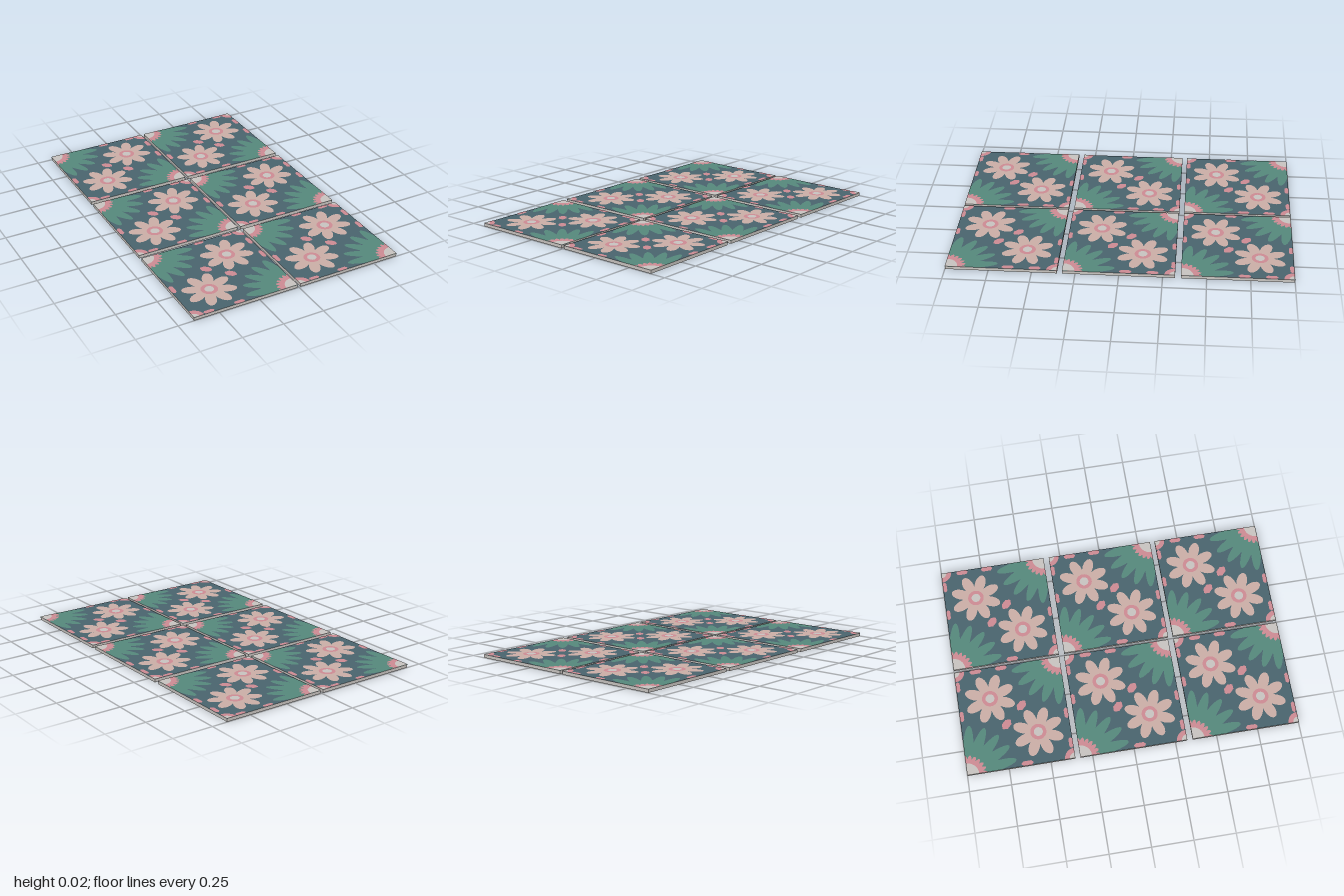
import * as THREE from 'three';

const S = 0.645;      // tile side
const H = 0.022;      // tile height
const STEP = 0.0005;  // thickness of one painted layer

const mat = (name, color) => new THREE.MeshStandardMaterial({ name, color });

// Closed outline around (u, v) in tile units (v runs to the front); a wedge includes its corner
function polar(u, v, radius, from = 0, to = Math.PI * 2, steps = 96) {
  const wedge = to - from < 6;
  const pts = wedge ? [new THREE.Vector2((u - 0.5) * S, (0.5 - v) * S)] : [];
  for (let i = 0; i < steps + (wedge ? 1 : 0); i++) {
    const a = from + (to - from) * i / steps;
    const r = radius(a);
    pts.push(new THREE.Vector2((u - 0.5 + r * Math.cos(a)) * S, (0.5 - v + r * Math.sin(a)) * S));
  }
  return new THREE.Shape(pts);
}

// Scalloped radius with rounded lobes
const lobes = (inner, outer, count, phase = 0, power = 0.45) => a =>
  inner + (outer - inner) * Math.pow(0.5 + 0.5 * Math.cos(count * (a - phase)), power);

// Rounded bar, optionally turned
function bar(u, v, w, h, angle = 0) {
  const c = Math.min(w, h) * 0.4;
  const outline = [
    [-w / 2, -h / 2 + c], [-w / 2 + c, -h / 2], [w / 2 - c, -h / 2], [w / 2, -h / 2 + c],
    [w / 2, h / 2 - c], [w / 2 - c, h / 2], [-w / 2 + c, h / 2], [-w / 2, h / 2 - c]];
  return new THREE.Shape(outline.map(([x, y]) => new THREE.Vector2(x, y)
    .rotateAround(new THREE.Vector2(), angle)
    .add(new THREE.Vector2(u - 0.5, 0.5 - v)).multiplyScalar(S)));
}

export function createModel() {
  const slate = mat('slateGround', 0x4a646e);
  const green = mat('leafGreen', 0x55897c);
  const petal = mat('petalBeige', 0xcbaea7);
  const pink = mat('rosePink', 0xcd8b93);
  const pale = mat('paleGrey', 0xc8c4c0);

  const flowers = [[0.693, 0.3], [0.303, 0.7]];
  const Q = Math.PI / 2;
  // Corner centres with the start angle of their quarter
  const bigCorners = [[0, 0, -Q], [1, 1, Q]];
  const smallCorners = [[1, 0, 2 * Q], [0, 1, 0]];
  const quarter = ([u, v, a], radius) => polar(u, v, radius, a, a + Q, 60);
  const round = r => () => r;

  const leaves = bigCorners.map(c => quarter(c, lobes(0.31, 0.47, 20, Math.PI / 20, 0.6)));
  const petals = flowers.map(([u, v]) => polar(u, v, lobes(0.12, 0.24, 8, Math.PI / 8)));
  const pinks = [
    ...flowers.map(([u, v]) => polar(u, v, round(0.075), 0, Math.PI * 2, 32)),
    ...bigCorners.map(c => quarter(c, lobes(0.15, 0.185, 24))),
    ...smallCorners.map(c => quarter(c, round(0.095))),
    // buds between the flowers
    ...[0.42, 0.58].map(t => bar(t, t, 0.11, 0.07, -Math.PI / 4)),
    // dashes along the borders
    ...[0.56, 0.85].flatMap(t => [bar(t, 0.019, 0.1, 0.038), bar(1 - t, 0.981, 0.1, 0.038)]),
    bar(0.022, 0.56, 0.044, 0.11), bar(0.978, 0.44, 0.044, 0.11), bar(0.978, 0.2, 0.044, 0.11),
  ];
  const pales = [
    ...flowers.map(([u, v]) => polar(u, v, round(0.042), 0, Math.PI * 2, 24)),
    ...bigCorners.map(c => quarter(c, round(0.11))),
    ...smallCorners.map(c => quarter(c, round(0.05))),
  ];

  const layers = [['leaves', leaves, green], ['petals', petals, petal],
    ['pinkDetails', pinks, pink], ['paleCentres', pales, pale]]
    .map(([name, shapes, material], i) => {
      const geometry = new THREE.ShapeGeometry(shapes);
      geometry.rotateX(-Math.PI / 2);
      geometry.translate(0, H - STEP * (3 - i), 0);
      return { name, geometry, material };
    });

  // Wavy dark band on the underside, along the back edge
  const band = new THREE.Shape([new THREE.Vector2(-S / 2, -S / 2), new THREE.Vector2(S / 2, -S / 2)]);
  for (let i = 0; i <= 24; i++) {
    const t = i / 24;
    const depth = 0.4 - 0.06 * t + 0.025 * Math.sin(t * Math.PI * 4);
    band.lineTo((0.5 - t) * S, (depth - 0.5) * S);
  }
  const bandGeometry = new THREE.ShapeGeometry(band);
  bandGeometry.rotateX(Math.PI / 2);
  layers.push({ name: 'undersideBand', geometry: bandGeometry, material: slate });

  // Slab: pale sides, slate top, green underside
  const bodyH = H - 5 * STEP;
  const body = new THREE.BoxGeometry(S, bodyH, S);
  body.translate(0, STEP + bodyH / 2, 0);
  layers.unshift({ name: 'slab', geometry: body, material: [pale, pale, slate, green, pale, pale] });

  const model = new THREE.Group();
  model.name = 'floorTiles';
  for (const side of [-1, 1]) {
    for (let row = -1; row <= 1; row++) {
      const tile = new THREE.Group();
      tile.name = 'tile';
      for (const { name, geometry, material } of layers) {
        const mesh = new THREE.Mesh(geometry, material);
        mesh.name = name;
        tile.add(mesh);
      }
      tile.position.set(side * 0.332, 0, row * 0.6765 + (row === 0 ? side * 0.002 : 0));
      model.add(tile);
    }
  }
  return model;
}
